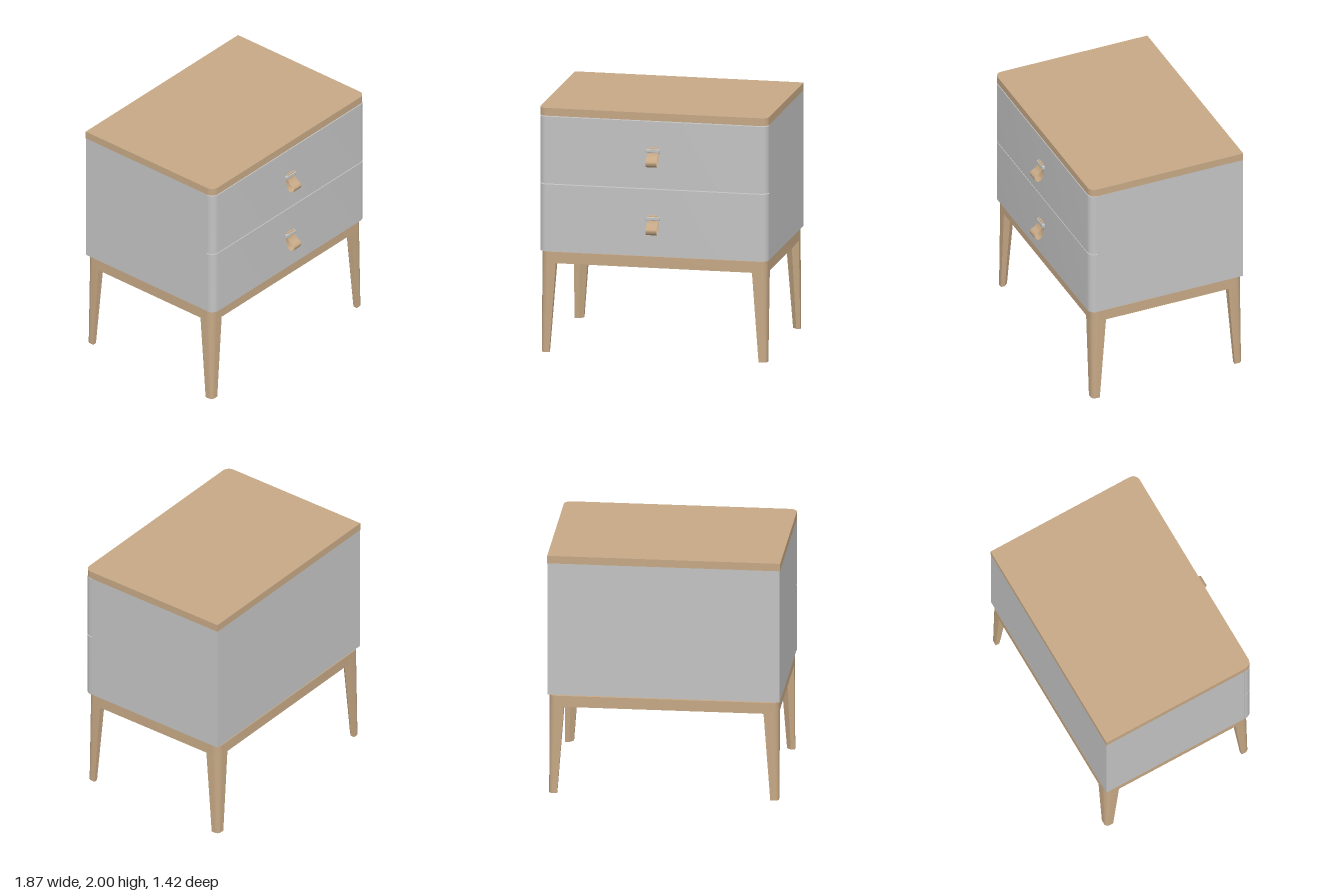
import * as THREE from 'three';
import { toCreasedNormals } from 'three/addons/utils/BufferGeometryUtils.js';
import { RoundedBoxGeometry } from 'three/addons/geometries/RoundedBoxGeometry.js';

const HALF_PI = Math.PI / 2;

// Plan outline with rounded corners; shape y is -z, so the front is at the low end
function plan(x, zBack, zFront, rFront, rBack, PathType = THREE.Shape) {
  const p = new PathType(), f = -zFront, b = -zBack;
  p.moveTo(-x + rFront, f);
  p.lineTo(x - rFront, f);
  if (rFront) p.absarc(x - rFront, f + rFront, rFront, -HALF_PI, 0);
  p.lineTo(x, b - rBack);
  if (rBack) p.absarc(x - rBack, b - rBack, rBack, 0, HALF_PI);
  p.lineTo(-x + rBack, b);
  if (rBack) p.absarc(-x + rBack, b - rBack, rBack, HALF_PI, Math.PI);
  p.lineTo(-x, f + rFront);
  if (rFront) p.absarc(-x + rFront, f + rFront, rFront, Math.PI, Math.PI * 1.5);
  return p;
}

// Extrude a plan outline upwards from y0 to y1
function slab(shape, y0, y1) {
  const g = new THREE.ExtrudeGeometry(shape, { depth: y1 - y0, bevelEnabled: false, curveSegments: 10 });
  g.rotateX(-HALF_PI).translate(0, y0, 0);
  return toCreasedNormals(g, 0.5);
}

// Tapered leg with its rounded outer corner at the origin, growing towards +x and -z
function legGeometry(top, foot, height) {
  const r = top / 2, s = new THREE.Shape();
  s.moveTo(r, 0);
  s.lineTo(top, 0);
  s.lineTo(top, top / 2);
  s.lineTo(top / 2, top);
  s.lineTo(0, top);
  s.lineTo(0, r);
  s.absarc(r, r, r, Math.PI, Math.PI * 1.5);
  const g = new THREE.ExtrudeGeometry(s, { depth: height, bevelEnabled: false, curveSegments: 10 });
  g.rotateX(-HALF_PI);
  const p = g.attributes.position;
  for (let i = 0; i < p.count; i++) {
    const k = THREE.MathUtils.lerp(foot / top, 1, p.getY(i) / height);
    p.setX(i, p.getX(i) * k);
    p.setZ(i, p.getZ(i) * k);
  }
  return toCreasedNormals(g, 0.5);
}

// Ribbon bent along a closed teardrop curve in the yz plane
function strapGeometry(width) {
  const curve = new THREE.CatmullRomCurve3([
    [0.12, 0.628], [0.118, 0.64], [0.08, 0.645], [0.048, 0.667], [0.025, 0.703],
    [0.008, 0.712], [-0.018, 0.702], [-0.031, 0.678], [-0.018, 0.652], [0.02, 0.634], [0.07, 0.628],
  ].map(([y, z]) => new THREE.Vector3(0, y, z)), true);
  const n = 40, g = new THREE.PlaneGeometry(width, 1, 1, n), p = g.attributes.position;
  for (let i = 0; i < p.count; i++) {
    const c = curve.getPoint(0.5 - p.getY(i));
    p.setXYZ(i, p.getX(i), c.y, c.z);
  }
  g.computeVertexNormals();
  return g;
}

export function createModel() {
  const model = new THREE.Group();
  model.name = 'nightstand';
  const wood = new THREE.MeshStandardMaterial({ color: 0xc6a885 });
  wood.name = 'wood';
  const grey = new THREE.MeshStandardMaterial({ color: 0xc3c3c3 });
  grey.name = 'greyPaint';
  const leather = new THREE.MeshStandardMaterial({ color: 0xc6a885, side: THREE.DoubleSide });
  leather.name = 'tanLeather';

  const add = (name, geometry, material, parent = model) => {
    const mesh = new THREE.Mesh(geometry, material);
    mesh.name = name;
    parent.add(mesh);
    return mesh;
  };

  // Top board and cabinet box
  add('topBoard', slab(plan(0.933, -0.712, 0.622, 0.06, 0), 1.937, 2), wood);
  add('cabinet', slab(plan(0.93, -0.71, 0.55, 0, 0), 0.83, 1.937), grey);

  // Two drawer fronts, each with a strap pull
  [0.83, 1.384].forEach((y, i) => {
    const drawer = new THREE.Group();
    drawer.name = i ? 'upperDrawer' : 'lowerDrawer';
    model.add(drawer);
    add('drawerFront', slab(plan(0.932, 0.553, 0.624, 0.06, 0), y, y + 0.546), grey, drawer);
    const pull = new THREE.Group();
    pull.name = 'pull';
    pull.position.y = y + 0.216;
    drawer.add(pull);
    add('strap', strapGeometry(0.09), leather, pull);
    add('clip', new RoundedBoxGeometry(0.116, 0.03, 0.025, 2, 0.006), grey, pull)
      .position.set(0, 0.094, 0.636);
  });

  // Base frame: a rail ring with a square block inside every corner
  const X = 0.92, back = -0.71, front = 0.6, railY = 0.73, railTop = 0.822, t = 0.06, legTop = 0.12;
  const ring = plan(X, back, front, t, t);
  ring.holes.push(plan(X - t, back + t, front - t, 0, 0, THREE.Path));
  add('baseFrame', slab(ring, railY, railTop), wood);

  // Four legs, turned a quarter at a time around the corners
  const leg = legGeometry(legTop, 0.066, railY);
  const block = new THREE.BoxGeometry(t, railTop - railY, t);
  const corners = [[-X, front], [X, front], [X, back], [-X, back]];
  corners.forEach(([x, z], i) => {
    const corner = new THREE.Group();
    corner.name = ['frontRightLeg', 'frontLeftLeg', 'backLeftLeg', 'backRightLeg'][i];
    corner.position.set(x, 0, z);
    corner.rotation.y = i * HALF_PI;
    model.add(corner);
    add('leg', leg, wood, corner);
    add('cornerBlock', block, wood, corner).position.set(t * 1.5, (railY + railTop) / 2, -t * 1.5);
  });

  return model;
}
